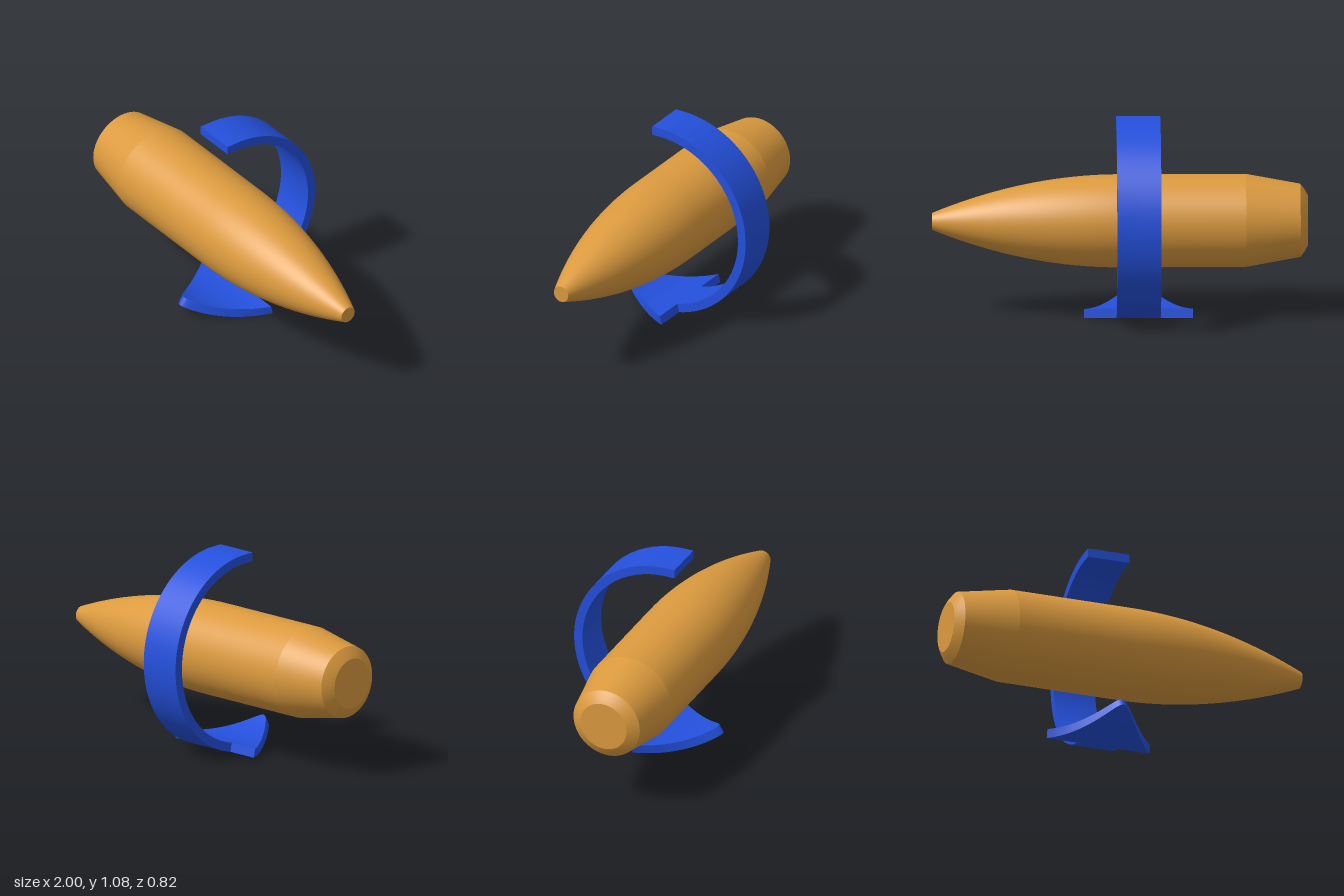
import * as THREE from 'three';
import { toCreasedNormals } from 'three/addons/utils/BufferGeometryUtils.js';

const AXIS_Z = 0.13, ARC_Y = 0.542, OUTER = 0.54, INNER = 0.491, ARROW_X = -0.0975;
const rad = THREE.MathUtils.degToRad;

// Bent plate around the x axis; each section has an angle from the bottom, a half width and a z offset
function bentPlate(sections) {
  const loops = sections.map(({ deg, w, dz = 0 }) => {
    const s = Math.sin(rad(deg)), c = Math.cos(rad(deg));
    const at = (x, r) => [ARROW_X + x, ARC_Y - r * c, AXIS_Z + dz + r * s];
    return [at(-w, OUTER), at(w, OUTER), at(w, INNER), at(-w, INNER)];
  });
  const pos = [];
  const tri = (a, b, c) => pos.push(...a, ...b, ...c);
  for (let i = 0; i < loops.length - 1; i++) {
    const p = loops[i], q = loops[i + 1];
    for (let j = 0; j < 4; j++) {
      const k = (j + 1) % 4;
      tri(p[j], p[k], q[j]);
      tri(p[k], q[k], q[j]);
    }
  }
  const [a, b, c, d] = loops[0], [e, f, g, h] = loops[loops.length - 1];
  tri(a, c, b); tri(a, d, c);
  tri(e, f, g); tri(e, g, h);
  const geo = new THREE.BufferGeometry();
  geo.setAttribute('position', new THREE.Float32BufferAttribute(pos, 3));
  return toCreasedNormals(geo, rad(35));
}

export function createModel() {
  const model = new THREE.Group();
  const brass = new THREE.MeshStandardMaterial({ color: 0xdb9a3e });
  brass.name = 'brass';
  const blue = new THREE.MeshStandardMaterial({ color: 0x2450dc });
  blue.name = 'blue';

  // Projectile: separate lathed sections keep the edges between them sharp
  const nose = [];
  for (let i = 0; i <= 20; i++) {
    const t = i / 20;
    nose.push([t, 0.248 - 0.203 * t * t]);
  }
  const parts = {
    baseDisc: [[-1, 0], [-1, 0.135]],
    baseChamfer: [[-1, 0.135], [-0.985, 0.162], [-0.96, 0.195]],
    taperedTail: [[-0.96, 0.195], [-0.67, 0.248]],
    bodyAndNose: [[-0.67, 0.248], ...nose],
    noseTip: [[1, 0.045], [1, 0]],
  };
  const projectile = new THREE.Group();
  projectile.name = 'projectile';
  for (const [name, profile] of Object.entries(parts)) {
    const points = profile.map(([x, r]) => new THREE.Vector2(r, x));
    const mesh = new THREE.Mesh(new THREE.LatheGeometry(points, 72), brass);
    mesh.name = name;
    projectile.add(mesh);
  }
  projectile.rotation.z = -Math.PI / 2;
  projectile.position.set(0, 0.519, AXIS_Z);
  model.add(projectile);

  // Curved arrow: band with a short straight lead-in at the top
  const arrow = new THREE.Group();
  arrow.name = 'rotationArrow';
  const band = [{ deg: -180, w: 0.1175, dz: 0.05 }];
  for (let i = 0; i <= 64; i++) band.push({ deg: -180 + (167.2 * i) / 64, w: 0.1175 });
  const bandMesh = new THREE.Mesh(bentPlate(band), blue);
  bandMesh.name = 'arrowBand';

  // Arrowhead: narrows to a slightly rounded tip
  const head = [];
  for (let i = 0; i <= 32; i++) {
    const s = (1 - i / 32) ** 2;
    head.push({ deg: 31.5 - 44.3 * s, w: 0.29 * Math.sqrt((s * s + 0.24 * s) / 1.24) });
  }
  const headMesh = new THREE.Mesh(bentPlate(head), blue);
  headMesh.name = 'arrowHead';
  arrow.add(bandMesh, headMesh);
  model.add(arrow);

  return model;
}
